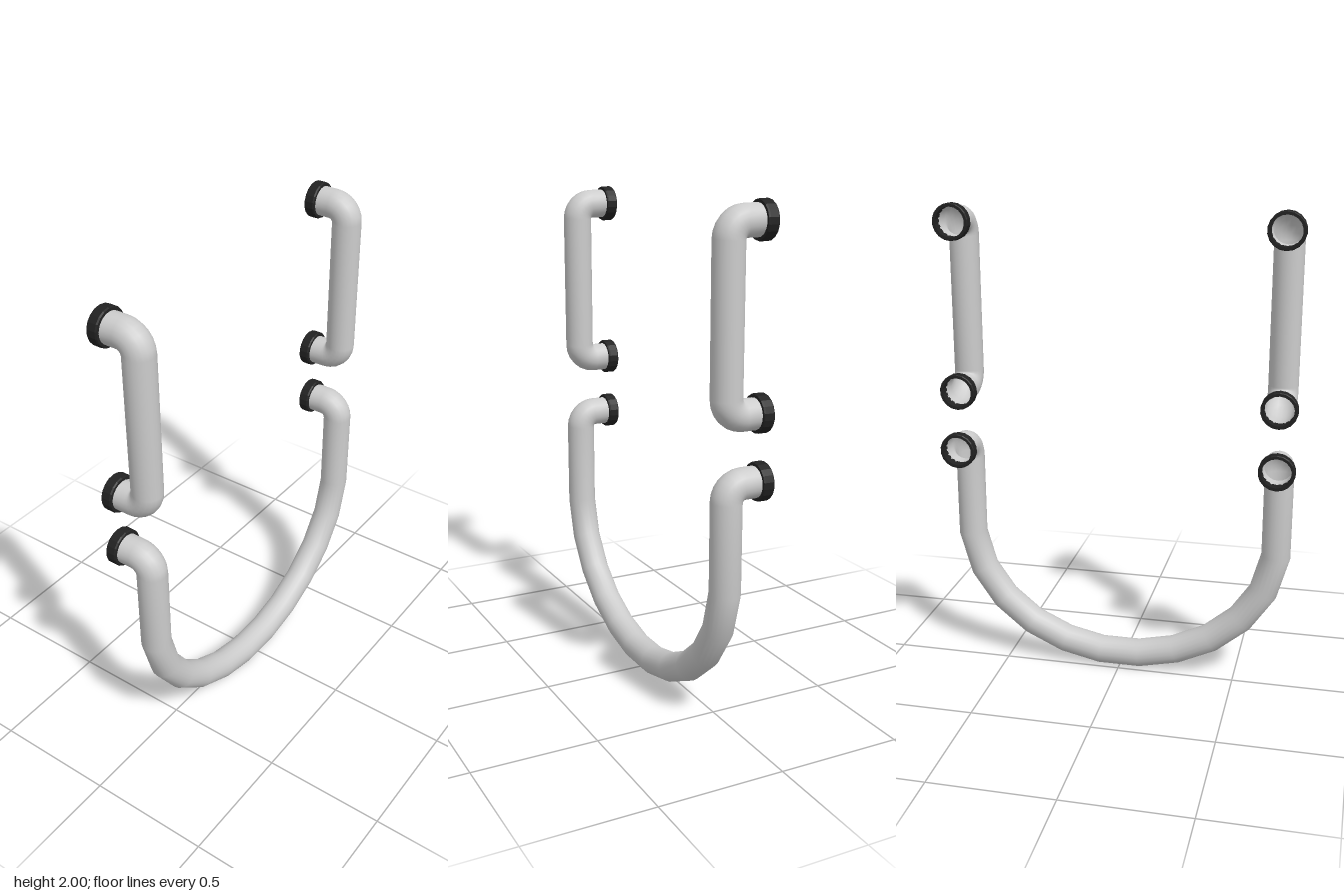
import * as THREE from 'three';

const pipeMat = new THREE.MeshStandardMaterial({ color: 0xcccccc, side: THREE.DoubleSide });
pipeMat.name = 'pale grey pipe';
const collarMat = new THREE.MeshStandardMaterial({ color: 0x222222, side: THREE.DoubleSide });
collarMat.name = 'black collar';

const R = 0.06, SIDES = 20, FRONT = 0.05, BACK = -0.075;

// Sweep a circle along a polyline, mitring each joint; both ends stay open
function pipeGeometry(path) {
  const dirs = path.slice(1).map((p, i) => p.clone().sub(path[i]).normalize());
  const u = new THREE.Vector3(1, 0, 0), v = new THREE.Vector3().crossVectors(dirs[0], u);
  let ring = [];
  for (let j = 0; j < SIDES; j++) {
    const a = (j / SIDES) * Math.PI * 2;
    ring.push(path[0].clone().addScaledVector(u, R * Math.cos(a)).addScaledVector(v, R * Math.sin(a)));
  }
  const pos = [], index = [];
  ring.forEach(p => pos.push(p.x, p.y, p.z));
  for (let i = 1; i < path.length; i++) {
    const d = dirs[i - 1];
    const n = d.clone().add(dirs[i] || d).normalize();
    // slide every point along the segment until it meets the mitre plane
    ring = ring.map(p => p.clone().addScaledVector(d, path[i].clone().sub(p).dot(n) / d.dot(n)));
    ring.forEach(p => pos.push(p.x, p.y, p.z));
    for (let j = 0; j < SIDES; j++) {
      const k = (j + 1) % SIDES, a = (i - 1) * SIDES, b = i * SIDES;
      index.push(a + j, a + k, b + j, a + k, b + k, b + j);
    }
  }
  const g = new THREE.BufferGeometry();
  g.setAttribute('position', new THREE.Float32BufferAttribute(pos, 3));
  g.setIndex(index);
  g.computeVertexNormals();
  return g;
}

// Quarter bend from the wall to the vertical run; side = 1 bends down, -1 bends up
function elbow(x, y, side) {
  const r = 0.064, pts = [new THREE.Vector3(x, y, BACK)];
  for (let i = 0; i <= 6; i++) {
    const a = (i / 6) * Math.PI / 2;
    pts.push(new THREE.Vector3(x, y - side * r * (1 - Math.cos(a)), FRONT - r + r * Math.sin(a)));
  }
  return pts;
}

// Ring with bevelled edges, open through the middle
const collarGeo = new THREE.LatheGeometry(
  [[0.06, 0], [0.071, 0], [0.074, 0.004], [0.074, 0.038], [0.071, 0.044], [0.06, 0.044], [0.06, 0]]
    .map(p => new THREE.Vector2(...p)), 18).toNonIndexed();
collarGeo.computeVertexNormals();
collarGeo.rotateX(Math.PI / 2);

export function createModel() {
  const model = new THREE.Group();
  model.name = 'grabRails';

  const addRail = (name, path) => {
    const rail = new THREE.Group();
    rail.name = name;
    const pipe = new THREE.Mesh(pipeGeometry(path), pipeMat);
    pipe.name = 'pipe';
    rail.add(pipe);
    for (const end of [path[0], path[path.length - 1]]) {
      const collar = new THREE.Mesh(collarGeo, collarMat);
      collar.name = 'collar';
      collar.position.set(end.x, end.y, -0.11);
      rail.add(collar);
    }
    model.add(rail);
  };

  // Two straight upper handles
  for (const [name, x] of [['leftHandle', 0.65], ['rightHandle', -0.66]])
    addRail(name, [...elbow(x, 1.927, 1), ...elbow(x, 1.24, -1).reverse()]);

  // Large U-shaped lower rail
  const half = [[0.66, 0.575], [0.613, 0.41], [0.52, 0.275], [0.393, 0.17], [0.243, 0.1], [0.085, 0.065]];
  const curve = [...half.map(([x, y]) => [-x, y]), ...half.slice().reverse()]
    .map(([x, y]) => new THREE.Vector3(x, y, FRONT));
  addRail('lowerRail', [...elbow(-0.66, 0.987, 1), ...curve, ...elbow(0.66, 0.987, 1).reverse()]);

  return model;
}
